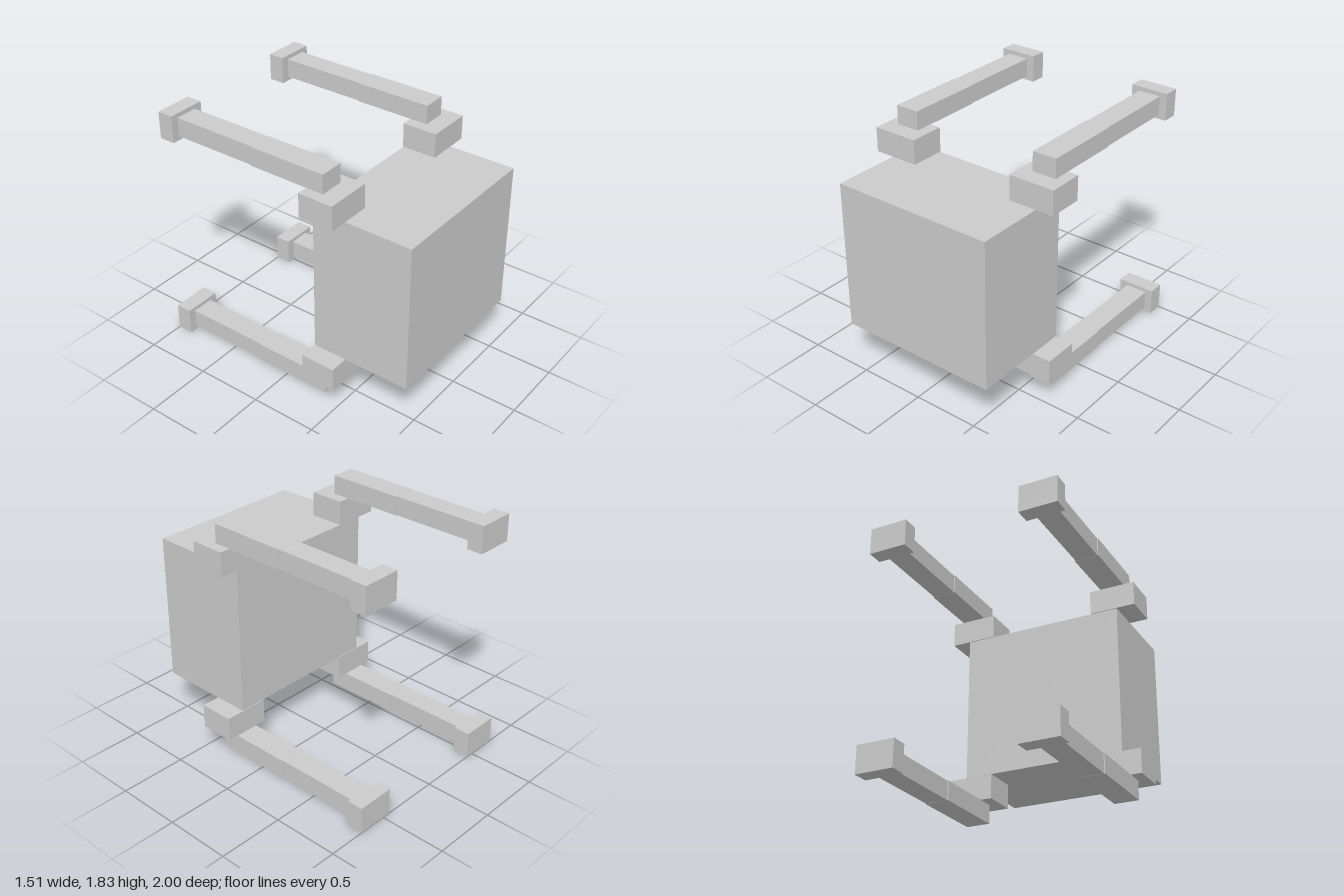
import * as THREE from 'three';

const MID_Y = 0.919; // height of the mirror plane between upper and lower legs

export function createModel() {
  const model = new THREE.Group();
  model.name = 'fourLeggedBox';
  const material = new THREE.MeshStandardMaterial({ color: 0xcccccc, flatShading: true });

  // Box given by its extents along each axis
  function block(name, [x0, x1], [y0, y1], [z0, z1]) {
    const mesh = new THREE.Mesh(new THREE.BoxGeometry(x1 - x0, y1 - y0, z1 - z0), material);
    mesh.position.set((x0 + x1) / 2, (y0 + y1) / 2, (z0 + z1) / 2);
    mesh.name = name;
    return mesh;
  }

  model.add(block('body', [-0.615, 0.615], [0.36, 1.478], [0.233, 1]));

  // Leg parts of the upper left leg; y is measured from the mirror plane
  const legParts = [
    ['hip', [0.408, 0.754], [0.561, 0.744], [0.23, 0.495]],
    ['upperLeg', [0.492, 0.674], [0.744, 0.886], [-0.227, 0.363]],
    ['lowerLeg', [0.499, 0.667], [0.745, 0.885], [-0.88, -0.227]],
    ['foot', [0.438, 0.723], [0.715, 0.917], [-1, -0.88]],
  ];

  // Mirror the leg to all four corners by its part positions
  for (const [side, sx] of [['Left', 1], ['Right', -1]]) {
    for (const [level, sy] of [['upper', 1], ['lower', -1]]) {
      const leg = new THREE.Group();
      leg.name = `${level}${side}Leg`;
      leg.position.y = MID_Y;
      for (const part of legParts) {
        const mesh = block(...part);
        mesh.position.x *= sx;
        mesh.position.y *= sy;
        leg.add(mesh);
      }
      model.add(leg);
    }
  }
  return model;
}
